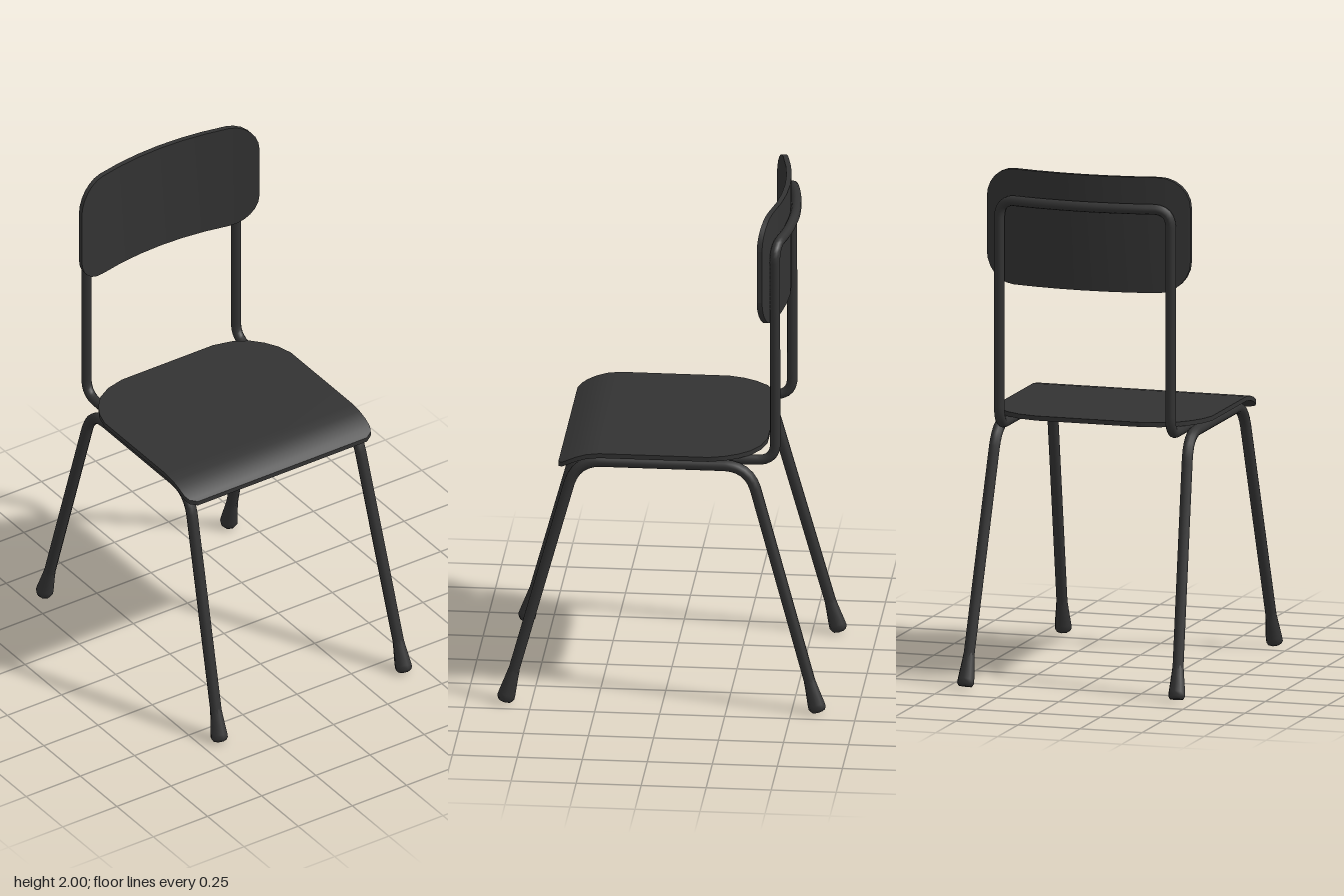
import * as THREE from 'three';

const V = (x, y, z) => new THREE.Vector3(x, y, z);
const material = new THREE.MeshStandardMaterial({ color: 0x333333 });

// Polyline with rounded corners, swept as a round tube
function bentTube(points, bend, radius, segments) {
  const path = new THREE.CurvePath();
  let from = points[0];
  for (let i = 1; i < points.length - 1; i++) {
    const p = points[i];
    const cut = (q) => {
      const d = q.clone().sub(p);
      return p.clone().addScaledVector(d.normalize(), Math.min(bend, p.distanceTo(q) * 0.45));
    };
    const a = cut(points[i - 1]), b = cut(points[i + 1]);
    path.add(new THREE.LineCurve3(from, a));
    path.add(new THREE.QuadraticBezierCurve3(a, p, b));
    from = b;
  }
  path.add(new THREE.LineCurve3(from, points[points.length - 1]));
  return new THREE.TubeGeometry(path, segments, radius, 10, false);
}

// Thin sheet from stations [z, half width, top height]
function sheet(stations, thickness) {
  const n = stations.length - 1;
  const geo = new THREE.BoxGeometry(2, 1, 1, 1, 1, n);
  const pos = geo.attributes.position;
  for (let i = 0; i < pos.count; i++) {
    const [z, half, top] = stations[Math.round((pos.getZ(i) + 0.5) * n)];
    pos.setXYZ(i, pos.getX(i) * half, top + (pos.getY(i) - 0.5) * thickness, z);
  }
  geo.computeVertexNormals();
  return geo;
}

export function createModel() {
  const model = new THREE.Group();
  const add = (name, geo) => {
    const mesh = new THREE.Mesh(geo, material);
    mesh.name = name;
    model.add(mesh);
    return mesh;
  };

  // Seat: rounded back corners, front edge rolled down
  add('seat', sheet([
    [-0.388, 0.21, 1.036], [-0.37, 0.285, 1.036], [-0.335, 0.345, 1.036],
    [-0.29, 0.385, 1.036], [-0.24, 0.413, 1.036], [-0.18, 0.43, 1.036],
    [0.24, 0.43, 1.036], [0.29, 0.43, 1.03], [0.33, 0.43, 1.018],
    [0.365, 0.428, 1.002], [0.385, 0.418, 0.991], [0.4, 0.39, 0.983],
  ], 0.018));

  // Backrest: rounded rectangle bowed towards the back
  const W = 0.41, R = 0.12, H = 0.225, stations = [];
  const station = (x) => {
    const inCorner = Math.max(0, Math.abs(x) - (W - R));
    const half = H - R + Math.sqrt(Math.max(0, R * R - inCorner * inCorner));
    stations.push([x, half, -0.435 + 0.07 * (x / W) ** 2]);
  };
  const xs = [0.097, 0.193];
  for (let k = 0; k <= 6; k++) xs.push(W - R + R * Math.sin((k / 6) * Math.PI / 2));
  [...xs.map((x) => -x).reverse(), 0, ...xs].forEach(station);
  const back = sheet(stations, 0.02);
  back.applyMatrix4(new THREE.Matrix4().makeBasis(V(0, 1, 0), V(0, 0, 1), V(1, 0, 0)));
  back.translate(0, 2 - H, 0);
  add('backrest', back);

  // Back frame: under the seat, up, across behind the backrest and down again
  const half = [V(0.345, 1, 0.25), V(0.345, 1, -0.43), V(0.345, 1.88, -0.428), V(0.19, 1.88, -0.462)];
  const mirrored = half.map((p) => V(-p.x, p.y, p.z)).reverse();
  add('backFrame', bentTube([...half, V(0, 1.88, -0.476), ...mirrored], 0.07, 0.02, 220));

  // Leg frames with a flared foot cap at each end
  const cap = [[0, 0], [0.027, 0], [0.034, 0.012], [0.033, 0.03], [0.026, 0.09], [0.022, 0.13]]
    .map(([r, y]) => new THREE.Vector2(r, y));
  for (const side of [1, -1]) {
    const label = side > 0 ? 'left' : 'right';
    const foot = (s) => V(side * 0.426, 0.008, s * 0.602);
    const knee = (s) => V(side * 0.385, 0.988, s * 0.333);
    add(label + 'LegFrame', bentTube(
      [1, -1].flatMap((s) => (s > 0 ? [foot(s), knee(s)] : [knee(s), foot(s)])), 0.1, 0.022, 100));
    for (const s of [1, -1]) {
      const mesh = add(label + (s > 0 ? 'FrontFoot' : 'BackFoot'), new THREE.LatheGeometry(cap, 8));
      mesh.position.copy(foot(s));
      mesh.quaternion.setFromUnitVectors(V(0, 1, 0), knee(s).sub(foot(s)).normalize());
    }
  }
  return model;
}
